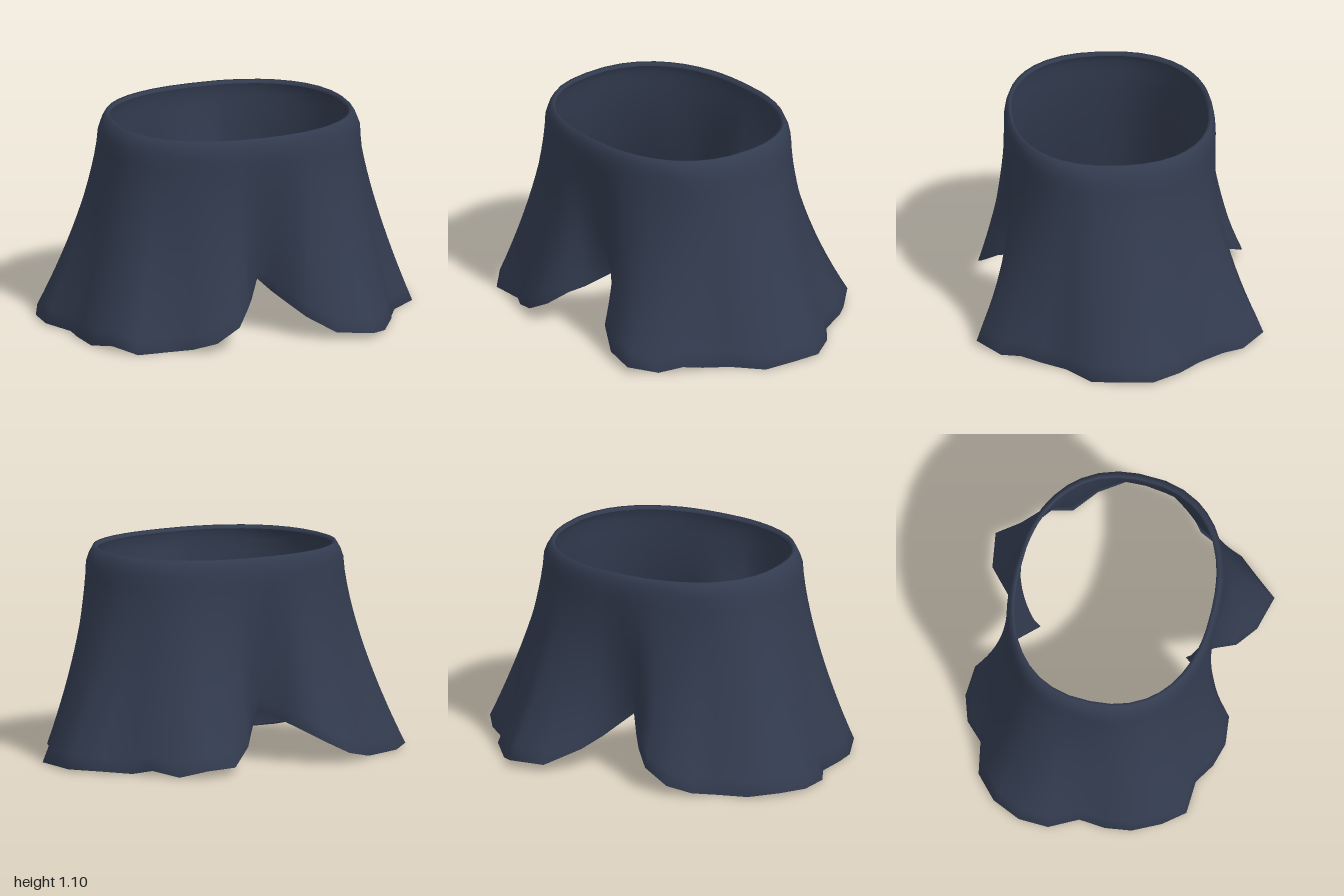
import * as THREE from 'three';

// Hem corners [x, y, z], running from the front notch round the left, back and right
const HEM = [
  [-0.02, 0.30, 0.40], [0.04, 0.24, 0.45], [0.11, 0.18, 0.52], [0.17, 0.13, 0.62],
  [0.31, 0.05, 0.70], [0.50, 0.04, 0.75], [0.61, 0.01, 0.63], [0.69, 0.04, 0.53],
  [0.73, 0.02, 0.43], [0.80, 0.01, 0.30], [0.95, 0.01, 0.18], [0.99, 0.02, 0.00],
  [1.00, 0.02, -0.14], [0.90, 0.02, -0.29], [0.77, 0.01, -0.40], [0.73, 0.04, -0.53],
  [0.63, 0.01, -0.64], [0.53, 0.05, -0.755], [0.34, 0.05, -0.73], [0.18, 0.13, -0.61],
  [0.10, 0.19, -0.52], [-0.02, 0.30, -0.40], [-0.10, 0.23, -0.52], [-0.16, 0.19, -0.60],
  [-0.25, 0.13, -0.69], [-0.39, 0.06, -0.71], [-0.52, 0.03, -0.67], [-0.61, 0.01, -0.58],
  [-0.79, 0.02, -0.55], [-0.92, 0.03, -0.44], [-0.99, 0.02, -0.29], [-1.00, 0.02, -0.13],
  [-0.92, 0.01, 0.02], [-0.94, 0.02, 0.16], [-0.92, 0.01, 0.30], [-0.86, 0.04, 0.45],
  [-0.76, 0.01, 0.56], [-0.58, 0.01, 0.57], [-0.48, 0.03, 0.64], [-0.36, 0.06, 0.68],
  [-0.23, 0.13, 0.67], [-0.15, 0.20, 0.59], [-0.10, 0.23, 0.52],
];
const CX = -0.02, CZ = 0.012;

// Point on a slightly squared oval, angle measured from the front towards +x
function oval(angle, a, b, y) {
  const s = Math.sin(angle), c = Math.cos(angle), p = 2 / 2.3;
  return [CX + a * Math.sign(s) * Math.abs(s) ** p, y, CZ + b * Math.sign(c) * Math.abs(c) ** p];
}

// Each hem corner rises to a matching angle on the waist
const backNotch = 21;
const angles = HEM.map(([x, , z], i) => {
  let polar = Math.atan2((x - CX) / 0.69, (z - CZ) / 0.553);
  if (i > backNotch && polar < 0) polar += 2 * Math.PI;
  const even = i <= backNotch
    ? Math.PI * i / backNotch
    : Math.PI * (1 + (i - backNotch) / (HEM.length - backNotch));
  return 0.7 * Math.abs(polar) + 0.3 * even;
});

function makeShell() {
  const rows = [];
  // Rounded waist rim, from its inner edge outwards
  for (const [a, b, y] of [[0.63, 0.514, 1.095], [0.633, 0.52, 1.11], [0.648, 0.535, 1.113], [0.672, 0.547, 1.075]]) {
    rows.push(angles.map((t) => oval(t, a, b, y)));
  }
  // Flaring wall, with the folds deepening towards the hem
  const steps = 14;
  for (let k = 0; k <= steps; k++) {
    const t = k / steps;
    rows.push(HEM.map(([x, y, z], i) => {
      const top = oval(angles[i], 0.69, 0.553, 1.03);
      const notch = Math.abs(x - CX) < 0.14;
      const fx = t ** 1.4, fz = t ** (notch ? 1.4 : 1.9);
      return [top[0] + (x - top[0]) * fx, top[1] + (y - top[1]) * t, top[2] + (z - top[2]) * fz];
    }));
  }
  // Narrow turned-in hem
  rows.push(HEM.map(([x, y, z]) => [x * 0.975, y + 0.008, z * 0.975]));

  const n = HEM.length, index = [];
  for (let j = 0; j < rows.length - 1; j++) {
    for (let i = 0; i < n; i++) {
      const a = j * n + i, d = j * n + (i + 1) % n;
      index.push(a, a + n, d + n, a, d + n, d);
    }
  }
  const geometry = new THREE.BufferGeometry();
  geometry.setAttribute('position', new THREE.Float32BufferAttribute(rows.flat(2), 3));
  geometry.setIndex(index);
  geometry.computeVertexNormals();
  return geometry;
}

export function createModel() {
  const model = new THREE.Group();
  model.name = 'flaredSkirt';
  const cloth = new THREE.MeshStandardMaterial({ color: 0x333c50, side: THREE.DoubleSide });
  const skirt = new THREE.Mesh(makeShell(), cloth);
  skirt.name = 'skirtCloth';
  model.add(skirt);
  return model;
}
